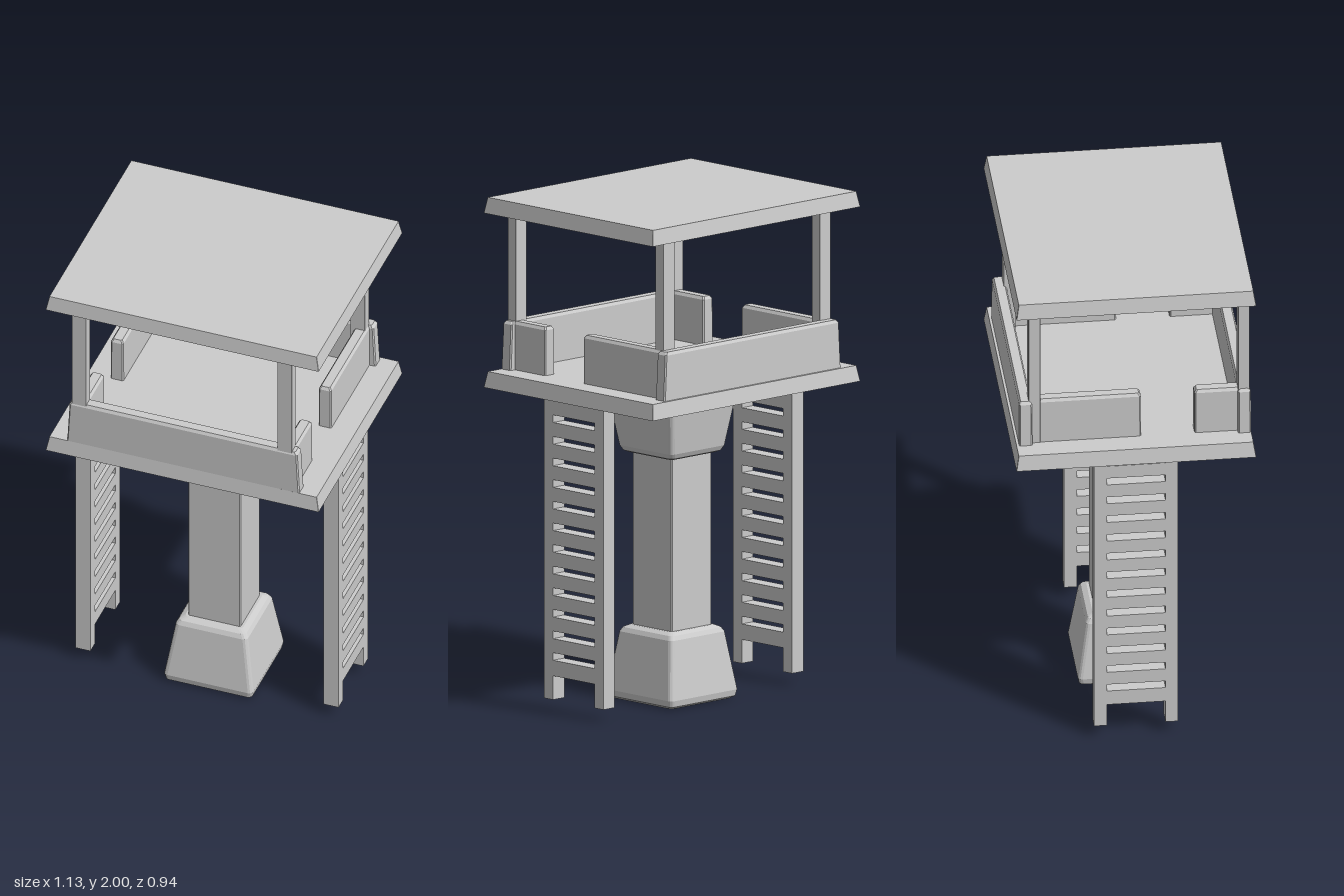
import * as THREE from 'three';

const material = new THREE.MeshStandardMaterial({ color: 0xcccccc, flatShading: true });

// Rectangular outline with rounded corners, counter-clockwise seen from below
function ring(y, hx, hz, r, cx, cz, steps) {
  const points = [];
  for (let corner = 0; corner < 4; corner++) {
    const sx = corner === 0 || corner === 3 ? 1 : -1;
    const sz = corner < 2 ? 1 : -1;
    for (let i = 0; i <= steps; i++) {
      const a = (corner + i / steps) * Math.PI / 2;
      points.push([
        cx + sx * (hx - r) + r * Math.cos(a), y,
        cz + sz * (hz - r) + r * Math.sin(a),
      ]);
    }
  }
  return points;
}

// Closed solid through stacked outlines; levels are [y, halfX, halfZ]
function loft(levels, r = 0.004, cx = 0, cz = 0, steps = 1) {
  const rings = levels.map(([y, hx, hz]) => ring(y, hx, hz, r, cx, cz, steps));
  const n = rings[0].length;
  const pos = [];
  const tri = (a, b, c) => pos.push(...a, ...b, ...c);
  for (let k = 0; k < rings.length - 1; k++) {
    for (let i = 0; i < n; i++) {
      const j = (i + 1) % n;
      const a = rings[k][i], b = rings[k][j], c = rings[k + 1][j], d = rings[k + 1][i];
      tri(a, d, c);
      tri(a, c, b);
    }
  }
  const bottom = rings[0], top = rings[rings.length - 1];
  for (let i = 1; i < n - 1; i++) {
    tri(bottom[0], bottom[i], bottom[i + 1]);
    tri(top[0], top[i + 1], top[i]);
  }
  const geometry = new THREE.BufferGeometry();
  geometry.setAttribute('position', new THREE.Float32BufferAttribute(pos, 3));
  geometry.computeVertexNormals();
  return geometry;
}

// Ladder panel with slots, extruded along x
function ladderGeometry(thickness) {
  const outer = 0.165, inner = 0.115, top = 1.25;
  const shape = new THREE.Shape([
    [-outer, 0.05], [-inner, 0.05], [-inner, 0.145], [inner, 0.145], [inner, 0.05], [outer, 0.05],
    [outer, top], [inner, top], [inner, 1.237], [-inner, 1.237], [-inner, top], [-outer, top],
  ].map(([x, y]) => new THREE.Vector2(x, y)));
  for (let i = 0; i < 12; i++) {
    const y = 0.222 + i * 0.0859, h = 0.015;
    shape.holes.push(new THREE.Path([
      new THREE.Vector2(-inner, y - h), new THREE.Vector2(-inner, y + h),
      new THREE.Vector2(inner, y + h), new THREE.Vector2(inner, y - h),
    ]));
  }
  const geometry = new THREE.ExtrudeGeometry(shape, { depth: thickness, bevelEnabled: false });
  geometry.translate(0, 0, -thickness / 2);
  geometry.rotateY(Math.PI / 2);
  return geometry;
}

export function createModel() {
  const group = new THREE.Group();
  const add = (name, geometry) => {
    const mesh = new THREE.Mesh(geometry, material);
    mesh.name = name;
    group.add(mesh);
    return mesh;
  };

  // Central pillar with flared foot and head
  add('pillarFoot', loft([
    [0, 0.165, 0.165], [0.01, 0.18, 0.18], [0.035, 0.185, 0.185],
    [0.265, 0.15, 0.15], [0.282, 0.14, 0.14], [0.292, 0.12, 0.12],
  ], 0.018, 0, 0, 3));
  add('pillarShaft', loft([[0.28, 0.109, 0.109], [0.99, 0.109, 0.109]], 0.004));
  add('pillarHead', loft([
    [0.978, 0.125, 0.125], [0.985, 0.14, 0.14], [1.005, 0.15, 0.15],
    [1.225, 0.185, 0.185], [1.25, 0.178, 0.178],
  ], 0.018, 0, 0, 3));

  // Floor and roof slabs, slightly narrower on top
  const slab = (y0, y1) => loft([[y0, 0.567, 0.47], [y1, 0.555, 0.46]], 0.001);
  add('platform', slab(1.245, 1.308));
  add('roof', slab(1.938, 2));

  // Front and back parapets, leaning in at the ends
  for (const [name, z] of [['frontParapet', 0.434], ['backParapet', -0.424]]) {
    add(name, loft([
      [1.3, 0.483, 0.026], [1.488, 0.473, 0.025], [1.5, 0.464, 0.018],
    ], 0.005, 0, z));
  }

  // Side parapets with an entrance gap above each ladder
  for (const [side, x] of [['left', 0.43], ['right', -0.434]]) {
    for (const [part, z0, z1] of [['FrontParapet', 0.24, 0.43], ['BackParapet', -0.42, 0.03]]) {
      const half = (z1 - z0) / 2;
      add(side + part, loft([
        [1.3, 0.027, half], [1.488, 0.026, half], [1.5, 0.018, half - 0.008],
      ], 0.005, x, (z0 + z1) / 2));
    }
  }

  // Corner posts
  for (const x of [0.42, -0.434]) {
    for (const z of [0.433, -0.388]) {
      add('post', loft([[1.3, 0.03, 0.023], [1.95, 0.03, 0.023]], 0.001, x, z));
    }
  }

  // Ladders on both sides
  add('leftLadder', ladderGeometry(0.062)).position.x = 0.506;
  add('rightLadder', ladderGeometry(0.062)).position.x = -0.525;

  return group;
}
